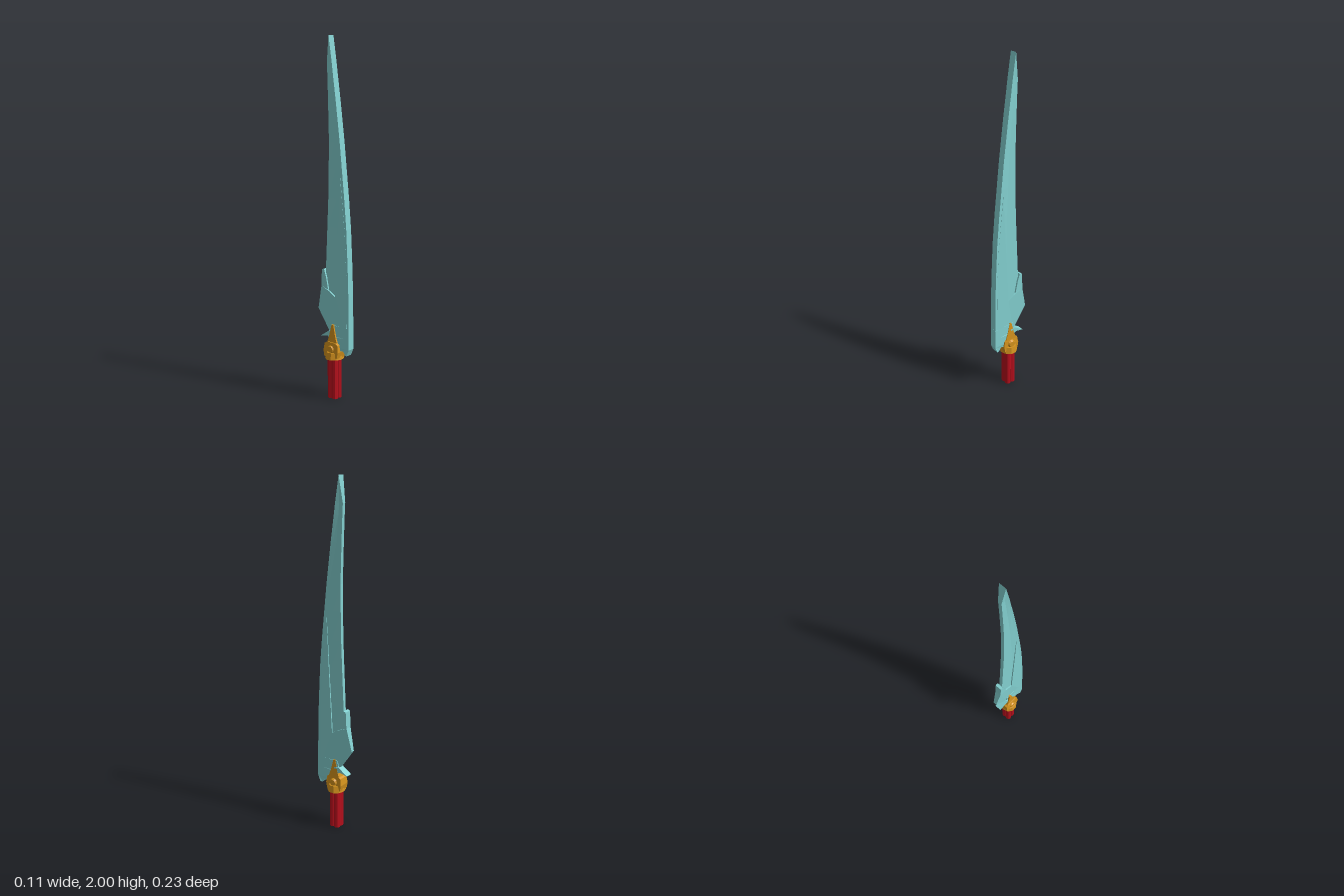
import * as THREE from 'three';

const material = (color) => new THREE.MeshStandardMaterial({ color, flatShading: true });

function geometryFrom(positions) {
  const g = new THREE.BufferGeometry();
  g.setAttribute('position', new THREE.Float32BufferAttribute(positions, 3));
  g.computeVertexNormals();
  return g;
}

// Solid plate from an outline of [z, y, half thickness], centred on x = cx
function plate(outline, cx = 0.005, thickness = 0.0205) {
  let pts = outline.map(([z, y, h = thickness]) => ({ v: new THREE.Vector2(z, y), h }));
  if (THREE.ShapeUtils.isClockWise(pts.map((p) => p.v))) pts = pts.reverse();
  const left = (p) => [cx - p.h, p.v.y, p.v.x];
  const right = (p) => [cx + p.h, p.v.y, p.v.x];
  const out = [];
  for (const [a, b, c] of THREE.ShapeUtils.triangulateShape(pts.map((p) => p.v), [])) {
    out.push(...left(pts[a]), ...left(pts[b]), ...left(pts[c]));
    out.push(...right(pts[a]), ...right(pts[c]), ...right(pts[b]));
  }
  pts.forEach((p, i) => {
    const q = pts[(i + 1) % pts.length];
    out.push(...left(p), ...right(p), ...right(q), ...left(p), ...right(q), ...left(q));
  });
  return geometryFrom(out);
}

// Hollow-ground blade: full width at the front edge, thin towards the back
function bladeGeometry() {
  const stations = [ // y, front z, back z
    [0.4, 0.114, -0.03], [0.6, 0.111, -0.06], [0.75, 0.106, -0.058], [0.97, 0.095, -0.048],
    [1.13, 0.081, -0.041], [1.29, 0.064, -0.038], [1.44, 0.048, -0.036], [1.66, 0.02, -0.042],
    [1.8, 0, -0.047], [1.86, -0.008, -0.05], [2, -0.03, -0.03],
  ];
  const columns = [[0, 0.0205], [0.18, 0.0175], [0.5, 0.0125], [1, 0.0105]]; // depth, half width
  const rings = stations.map(([y, zf, zb]) => {
    const side = (s) => columns.map(([t, h]) =>
      [0.005 + s * (y === 2 ? 0.0205 : h), y, zf + (zb - zf) * t]);
    return [...side(1), ...side(-1).reverse()];
  });
  const out = [];
  for (let k = 0; k < rings.length - 1; k++) {
    const a = rings[k], b = rings[k + 1];
    a.forEach((p, i) => {
      const j = (i + 1) % a.length;
      out.push(...p, ...a[j], ...b[j], ...p, ...b[j], ...b[i]);
    });
  }
  return geometryFrom(out);
}

export function createModel() {
  const group = new THREE.Group();
  const teal = material(0x84d2d2), gold = material(0xd3921d), red = material(0xb80f1c);
  const add = (name, geometry, mat, x = 0, y = 0, z = 0) => {
    const mesh = new THREE.Mesh(geometry, mat);
    mesh.name = name;
    mesh.position.set(x, y, z);
    group.add(mesh);
    return mesh;
  };

  // Blade
  add('blade', bladeGeometry(), teal);
  add('bladePanel', plate([
    [0.1, 0.36], [0.096, 0.7], [0.083, 0.95], [0.05, 1.25], [0.035, 0.95], [0.015, 0.585],
    [-0.025, 0.61], [-0.085, 0.635], [-0.115, 0.5, 0.0105], [-0.025, 0.37, 0.0105],
    [0.03, 0.355], [0.075, 0.33],
  ], 0.005, 0.0195), teal);
  add('bladeHeel', plate([
    [0.115, 0.3, 0.0205], [0.114, 0.42, 0.0205], [-0.02, 0.42], [-0.03, 0.37], [0, 0.3],
    [0.05, 0.28], [0.07, 0.285], [0.085, 0.262], [0.098, 0.262, 0.0205],
  ], 0.005, 0.0165), teal);
  add('backFin', plate([
    [-0.035, 0.62], [-0.05, 0.69], [-0.065, 0.735], [-0.08, 0.73], [-0.085, 0.635],
  ]), teal);
  add('backSpur', plate([[0, 0.33], [-0.04, 0.355], [-0.09, 0.345], [-0.03, 0.385], [0, 0.38]]), teal);

  // Guard: collar, body, pointed crest and round bosses
  add('guardCollar', new THREE.CylinderGeometry(0.05, 0.057, 0.04, 10), gold, 0, 0.25).scale.z = 0.9;
  add('guardBody', plate([
    [0.045, 0.24, 0.034], [0.052, 0.275, 0.034], [0.046, 0.315, 0.03], [0.03, 0.325, 0.028],
    [-0.03, 0.325, 0.028], [-0.046, 0.315, 0.03], [-0.052, 0.275, 0.034], [-0.045, 0.24, 0.034],
  ], -0.002), gold);
  add('guardCrest', plate([
    [0.042, 0.3, 0.026], [0.022, 0.36, 0.024], [0.006, 0.425, 0.0215], [-0.006, 0.425, 0.0215],
    [-0.022, 0.36, 0.024], [-0.042, 0.3, 0.026],
  ], 0.002), gold);
  for (const side of [-1, 1]) {
    const boss = add('guardBoss', new THREE.CylinderGeometry(0.018, 0.026, 0.014, 10), gold,
      side * 0.034, 0.286);
    boss.rotation.z = -side * Math.PI / 2;
  }

  // Grip: four bundled rods
  for (const x of [-1, 1]) for (const z of [-1, 1]) {
    add('gripRod', new THREE.CylinderGeometry(0.0185, 0.0185, 0.235, 8), red,
      x * 0.0145, 0.1175, z * 0.0145);
  }
  return group;
}
